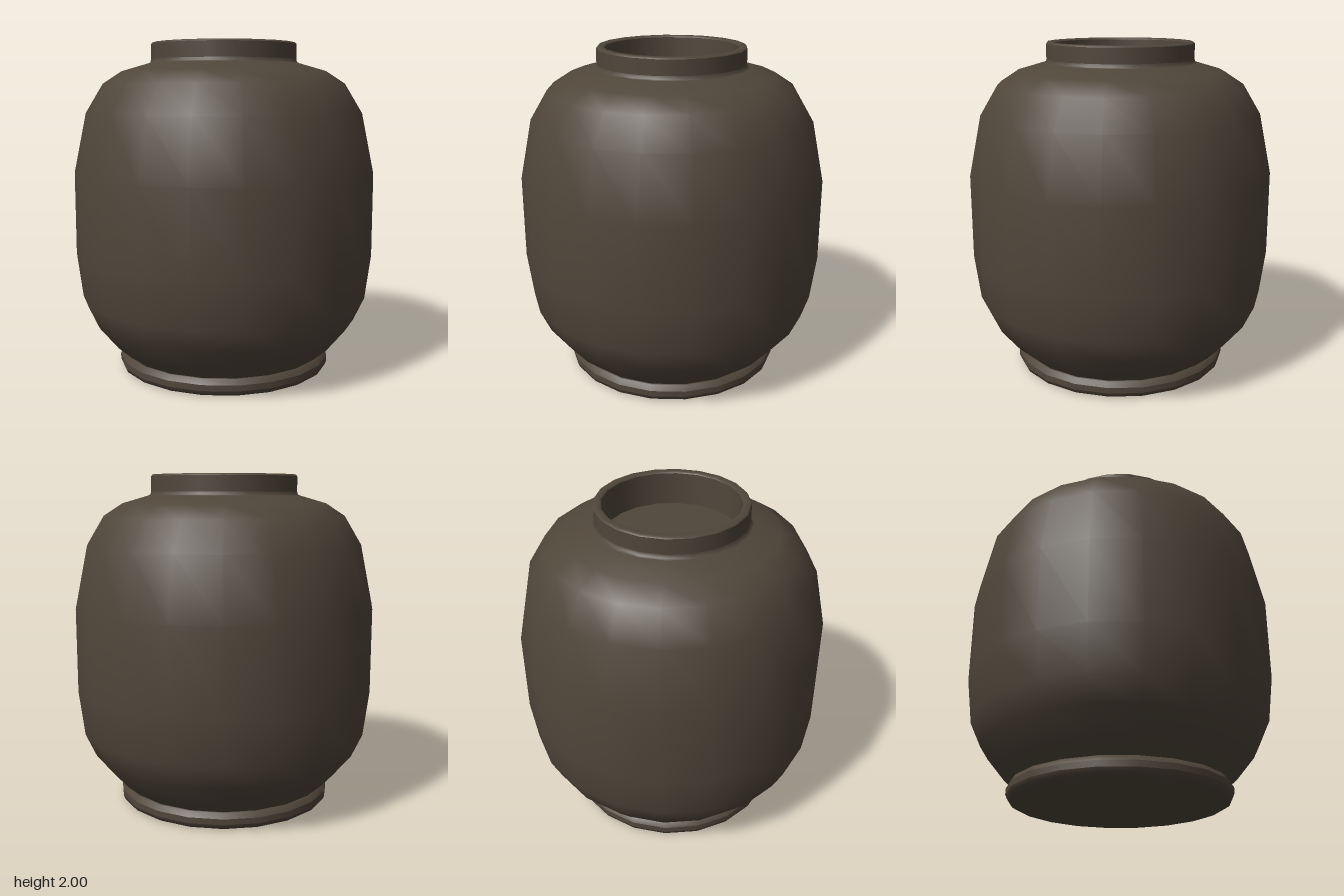
import * as THREE from 'three';

const SIDES = 20;

export function createModel() {
  const group = new THREE.Group();
  group.name = 'jar';
  const clay = new THREE.MeshStandardMaterial({ color: 0x50463a });
  clay.name = 'dark brown clay';

  // Each profile is a run of [radius, height]; separate lathes keep sharp edges between parts.
  const turn = (name, profile) => {
    const points = profile.map(([r, y]) => new THREE.Vector2(r, y));
    const mesh = new THREE.Mesh(new THREE.LatheGeometry(points, SIDES), clay);
    mesh.name = name;
    group.add(mesh);
  };

  // Foot ring and underside
  turn('underside', [[0, 0], [0.625, 0]]);
  turn('footLowerBevel', [[0.625, 0], [0.645, 0.012], [0.655, 0.035]]);
  turn('footBand', [[0.655, 0.035], [0.655, 0.07]]);
  turn('footUpperBevel', [[0.655, 0.07], [0.635, 0.1], [0.62, 0.1]]);

  // Rounded belly and shoulder
  turn('body', [
    [0.62, 0.1], [0.7, 0.17], [0.815, 0.31], [0.88, 0.45], [0.915, 0.72],
    [0.915, 1.22], [0.84, 1.58], [0.735, 1.755], [0.62, 1.83], [0.46, 1.877],
  ]);

  // Neck with a small flare at its base and a softened lip
  turn('neckFlare', [[0.46, 1.877], [0.448, 1.883], [0.443, 1.9]]);
  turn('neck', [[0.443, 1.9], [0.443, 1.99]]);
  turn('lip', [[0.443, 1.99], [0.435, 2], [0.403, 2], [0.395, 1.99]]);
  turn('neckInside', [[0.395, 1.99], [0.39, 1.8]]);
  turn('neckFloor', [[0.39, 1.8], [0, 1.8]]);

  return group;
}
